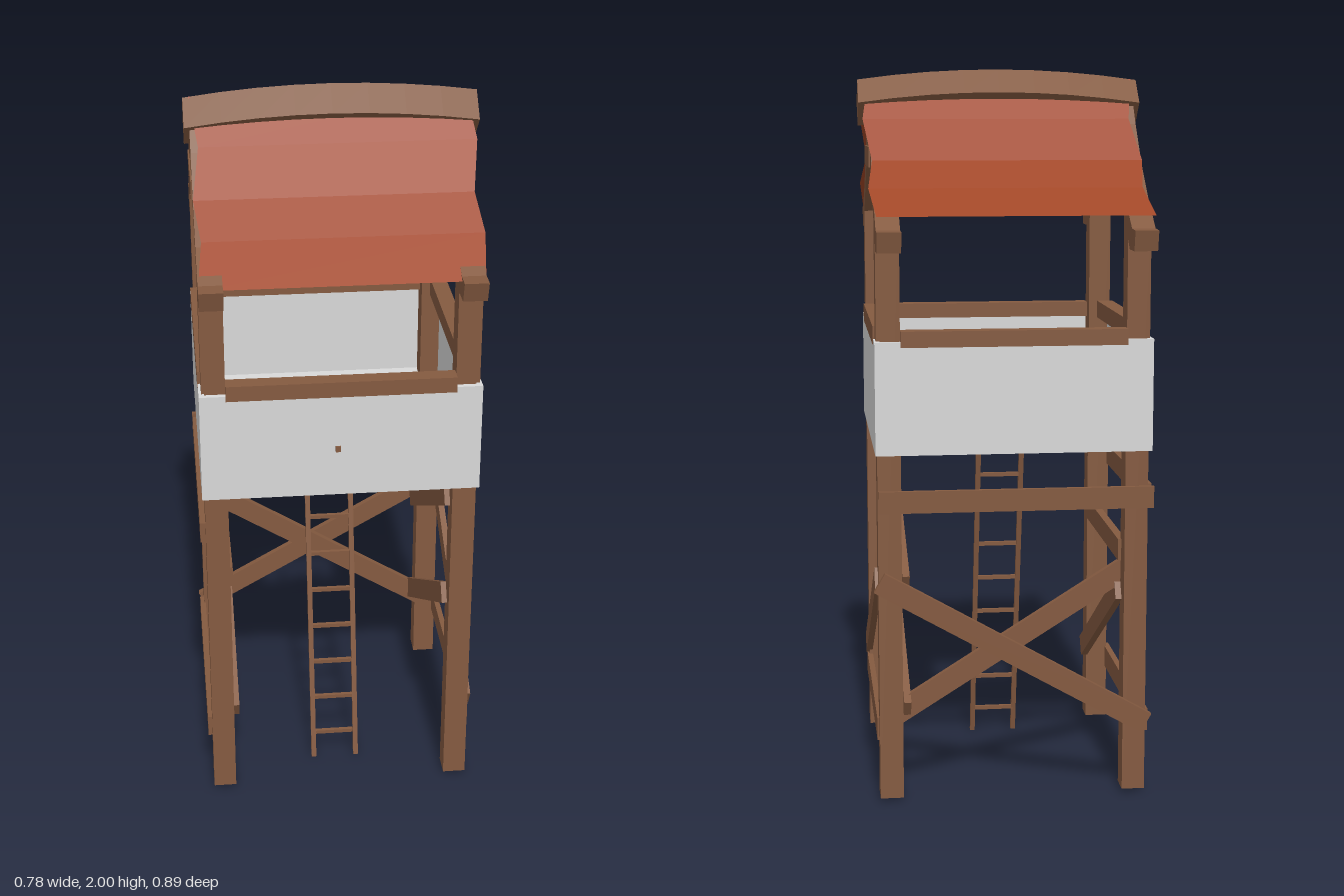
import * as THREE from 'three';

export function createModel() {
  const group = new THREE.Group();
  const wood = new THREE.MeshStandardMaterial({ color: 0x845a40 });
  wood.name = 'wood';
  const white = new THREE.MeshStandardMaterial({ color: 0xd8d8d8 });
  white.name = 'whitewash';
  const red = new THREE.MeshStandardMaterial({ color: 0xa04626, side: THREE.DoubleSide, flatShading: true });
  red.name = 'roofRed';

  const add = (name, geo, mat) => {
    const m = new THREE.Mesh(geo, mat);
    m.name = name;
    group.add(m);
    return m;
  };
  // axis-aligned block from its limits
  const block = (name, mat, x0, x1, y0, y1, z0, z1) =>
    add(name, new THREE.BoxGeometry(x1 - x0, y1 - y0, z1 - z0), mat)
      .position.set((x0 + x1) / 2, (y0 + y1) / 2, (z0 + z1) / 2);
  // straight plank between two points
  const beam = (name, a, b, height, thick) => {
    const p = new THREE.Vector3(...a), q = new THREE.Vector3(...b);
    const m = add(name, new THREE.BoxGeometry(thick, height, p.distanceTo(q)), wood);
    m.position.copy(p).add(q).multiplyScalar(0.5);
    m.lookAt(q);
  };

  // corner posts
  const postX = [[-0.375, -0.312], [0.298, 0.362]];
  const postZ = [[-0.34, -0.277], [0.3, 0.364]];
  for (const [x0, x1] of postX)
    for (const [z0, z1] of postZ) block('post', wood, x0, x1, 0.015, 1.62, z0, z1);

  // parapet walls
  const X0 = -0.382, X1 = 0.367, Z0 = -0.362, Z1 = 0.386, T = 0.015;
  block('frontWall', white, X0, X1, 0.98, 1.285, Z1 - T, Z1);
  block('backWall', white, X0, X1, 0.98, 1.285, Z0, Z0 + T);
  block('rightWall', white, X0, X0 + T, 0.98, 1.285, Z0 + T, Z1 - T);
  block('leftWall', white, X1 - T, X1, 0.98, 1.285, Z0 + T, Z1 - T);

  // floor around a square hatch
  const hx0 = -0.14, hx1 = 0.11, hz0 = -0.11, hz1 = 0.15;
  block('floor', white, X0 + T, X1 - T, 0.981, 1, hz1, Z1 - T);
  block('floor', white, X0 + T, X1 - T, 0.981, 1, Z0 + T, hz0);
  block('floor', white, X0 + T, hx0, 0.981, 1, hz0, hz1);
  block('floor', white, hx1, X1 - T, 0.981, 1, hz0, hz1);

  // cap rails between the posts
  block('frontRail', wood, -0.312, 0.298, 1.27, 1.313, 0.34, 0.387);
  block('backRail', wood, -0.312, 0.298, 1.27, 1.313, -0.363, -0.316);
  block('rightRail', wood, -0.383, -0.337, 1.27, 1.32, -0.277, 0.3);
  block('leftRail', wood, 0.322, 0.368, 1.27, 1.32, -0.277, 0.3);

  // bracing on the back
  block('backBeam', wood, -0.39, 0.36, 0.82, 0.88, -0.352, -0.338);
  beam('backBrace', [0.36, 0.63, -0.347], [-0.375, 0.21, -0.347], 0.06, 0.02);
  beam('backBrace', [-0.335, 0.64, -0.27], [0.32, 0.23, -0.27], 0.06, 0.02);

  // bracing on the model's left side
  block('leftBeam', wood, 0.352, 0.368, 0.175, 0.238, -0.315, 0.335);
  beam('leftBrace', [0.362, 0.26, 0.345], [0.362, 0.635, -0.315], 0.06, 0.018);
  beam('leftInnerBrace', [0.293, 0.925, 0.32], [0.283, 0.6, -0.26], 0.06, 0.02);
  beam('leftInnerBrace', [0.293, 0.61, 0.32], [0.283, 0.25, -0.29], 0.06, 0.02);

  // bracing on the model's right side
  block('rightUpperBeam', wood, -0.39, -0.37, 0.82, 0.88, -0.315, 0.335);
  block('rightMiddleBeam', wood, -0.325, -0.303, 0.66, 0.72, -0.29, 0.31);
  block('rightLowerBeam', wood, -0.387, -0.37, 0.175, 0.238, -0.315, 0.335);
  beam('rightBrace', [-0.305, 0.24, 0.31], [-0.305, 0.58, -0.29], 0.06, 0.02);

  // ladder
  const ladderZ = (y) => 0.237 - 0.225 * y;
  for (const x of [-0.073, 0.052])
    beam('ladderRail', [x, 0.005, ladderZ(0)], [x, 1.0, ladderZ(1)], 0.014, 0.014);
  for (let i = 0; i < 9; i++) {
    const y = 0.08 + i * 0.109;
    beam('ladderRung', [-0.07, y, ladderZ(y)], [0.05, y, ladderZ(y)], 0.011, 0.011);
  }

  // small peg by the front wall
  block('peg', wood, -0.026, -0.012, 1.122, 1.138, 0.408, 0.414);

  // curved rafter frames with flared feet, and collar ties
  const outline = [
    [0.442, 1.6], [0.395, 1.602], [0.29, 1.665], [0.19, 1.74], [0.09, 1.85], [0, 1.965],
    [-0.09, 1.85], [-0.19, 1.74], [-0.29, 1.655], [-0.395, 1.582], [-0.445, 1.58],
    [-0.432, 1.525], [-0.365, 1.525], [-0.297, 1.59], [-0.143, 1.715], [-0.05, 1.79],
    [0, 1.87], [0.05, 1.79], [0.143, 1.72], [0.297, 1.597], [0.365, 1.545], [0.425, 1.545],
  ].map(([z, y]) => new THREE.Vector2(z, y));
  for (const [x0, x1] of postX) {
    const geo = new THREE.ExtrudeGeometry(new THREE.Shape(outline), { depth: x1 - x0, bevelEnabled: false });
    geo.rotateY(-Math.PI / 2);
    add('rafter', geo, wood).position.x = x1;
    block('collarTie', wood, x0 - 0.004, x1 + 0.004, 1.735, 1.79, -0.12, 0.14);
  }

  // roof sheet with zigzag side edges: z, y, sideways shift
  const rows = [
    [0.405, 1.617, 0], [0.285, 1.685, 0.015], [0.19, 1.755, 0], [0.09, 1.865, 0.02], [0, 1.975, 0],
    [-0.09, 1.865, 0.02], [-0.19, 1.755, 0], [-0.285, 1.677, 0.015], [-0.405, 1.592, 0],
  ];
  const roof = new THREE.PlaneGeometry(1, 1, 1, rows.length - 1);
  rows.forEach(([z, y, s], i) => {
    roof.attributes.position.setXYZ(i * 2, -0.375 + s, y, -z);
    roof.attributes.position.setXYZ(i * 2 + 1, 0.36 + s, y, -z);
  });
  roof.computeVertexNormals();
  add('roof', roof, red);

  // bowed diamond ridge beam
  const half = 0.063;
  const diamond = new THREE.Shape([[half, 0], [0, half], [-half, 0], [0, -half]].map((p) => new THREE.Vector2(...p)));
  const ridge = new THREE.ExtrudeGeometry(diamond, { depth: 0.78, steps: 8, bevelEnabled: false });
  ridge.translate(0, 0, -0.39);
  ridge.rotateY(-Math.PI / 2);
  const pos = ridge.attributes.position;
  for (let i = 0; i < pos.count; i++) {
    const t = pos.getX(i) / 0.39;
    pos.setY(i, pos.getY(i) + 1.937 - 0.028 * t * t);
  }
  ridge.computeVertexNormals();
  add('ridgeBeam', ridge, wood);

  return group;
}
